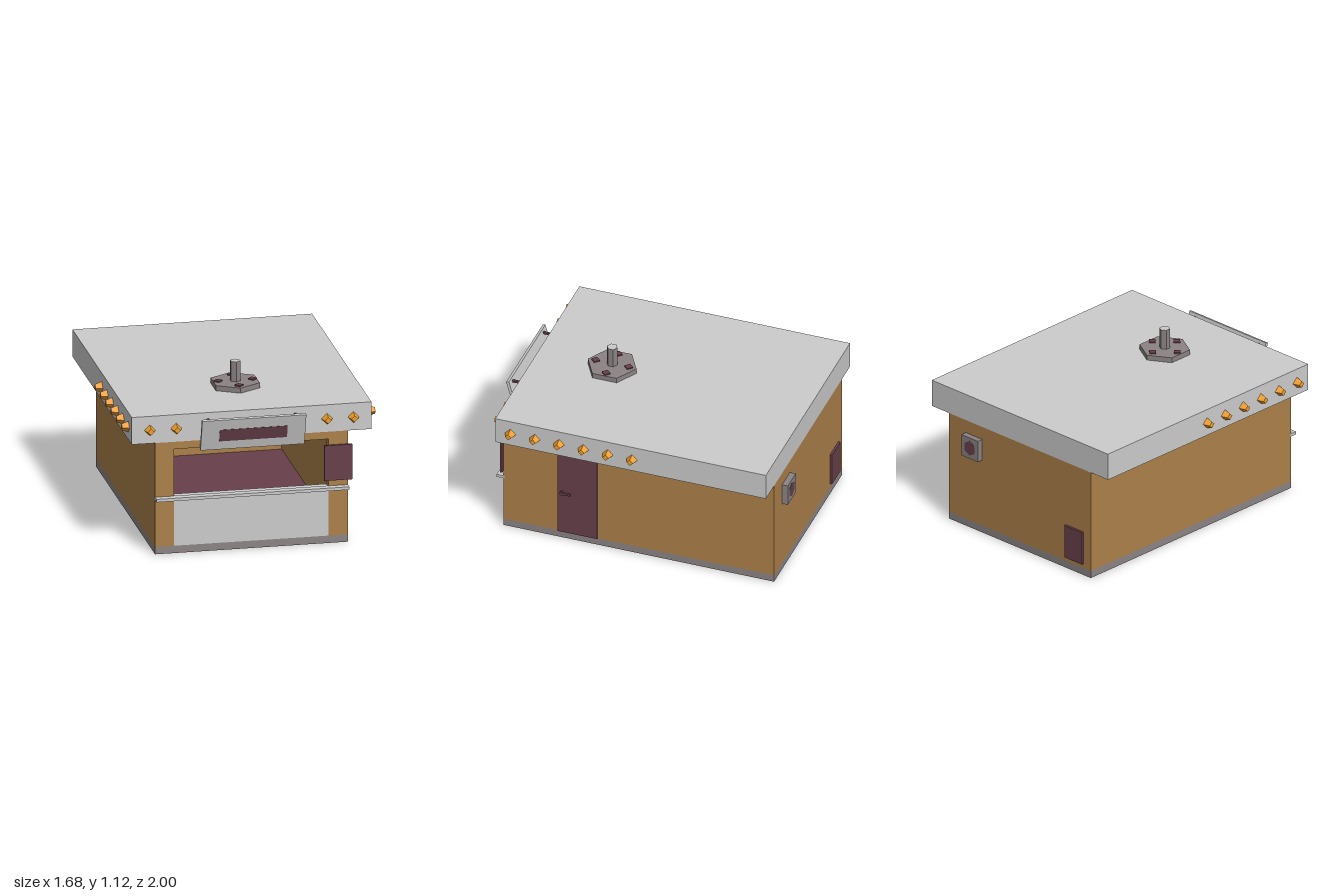
import * as THREE from 'three';

const mat = (color) => new THREE.MeshStandardMaterial({ color, flatShading: true });

export function createModel() {
  const model = new THREE.Group();
  const grey = mat(0xcccccc), wood = mat(0xad8049), red = mat(0x68404a);
  const dark = mat(0x8c8484), orange = mat(0xf0a030);

  const add = (name, geometry, material, parent = model) => {
    const mesh = new THREE.Mesh(geometry, material);
    mesh.name = name;
    parent.add(mesh);
    return mesh;
  };
  // Box given by its extents on each axis
  const box = (name, material, [x0, x1], [y0, y1], [z0, z1], parent) => {
    const mesh = add(name, new THREE.BoxGeometry(x1 - x0, y1 - y0, z1 - z0), material, parent);
    mesh.position.set((x0 + x1) / 2, (y0 + y1) / 2, (z0 + z1) / 2);
    return mesh;
  };

  const W = 0.64, F = 0.91, B = -0.96, T = 0.06, floorY = 0.05, wallTop = 0.76;
  const wallY = [floorY, wallTop];

  // Base, interior floor and hollow walls
  box('base', dark, [-W, W], [0, floorY], [B, F]);
  box('interiorFloor', red, [-W + T, W - T], [floorY, floorY + 0.004], [B + T, F - T]);
  box('rightWall', wood, [-W, -W + T], wallY, [B, F]);
  box('leftWall', wood, [W - T, W], wallY, [B, F]);
  box('backWall', wood, [-W + T, W - T], wallY, [B, B + T]);

  // Front wall around the serving window
  box('frontPostRight', wood, [-W + T, -0.515], wallY, [F - T, F]);
  box('frontPostLeft', wood, [0.51, W - T], wallY, [F - T, F]);
  box('windowHeader', wood, [-0.515, 0.51], [0.71, wallTop], [F - T, F]);
  box('counterFront', grey, [-0.515, 0.51], [floorY, 0.385], [F - T, F]);
  box('counter', grey, [-W, W], [0.37, 0.39], [F - 0.005, 0.957]);

  // Roof slab with a dark underside
  box('roof', grey, [-0.795, 0.795], [wallTop, 0.945], [B, F]);
  const soffit = add('roofUnderside', new THREE.PlaneGeometry(1.59, F - B), red);
  soffit.rotation.x = Math.PI / 2;
  soffit.position.set(0, wallTop - 0.001, (F + B) / 2);

  // Lamps: four-sided tapered studs pointing outward
  const lampGeometry = new THREE.CylinderGeometry(0.022, 0.037, 0.045, 4);
  lampGeometry.rotateX(Math.PI / 2);
  const lamp = (x, z, turn) => {
    const mesh = add('lamp', lampGeometry, orange);
    mesh.position.set(x, 0.85, z);
    mesh.rotation.y = turn;
  };
  for (const side of [-1, 1]) {
    for (const x of [0.5, 0.675]) lamp(side * x, F + 0.0225, 0);
    for (let i = 0; i < 6; i++) lamp(side * 0.8175, -0.035 + i * 0.168, side * Math.PI / 2);
  }

  // Tilted sign over the window, held by two brackets
  const sign = new THREE.Group();
  sign.name = 'sign';
  sign.position.set(0, 0.81, 0.96);
  sign.rotation.x = 0.27;
  model.add(sign);
  box('signBoard', grey, [-0.345, 0.345], [-0.113, 0.113], [-0.01, 0.01], sign);
  box('signInset', red, [-0.225, 0.225], [-0.05, 0.038], [0.008, 0.012], sign);
  for (const x of [-0.29, 0.29]) {
    box('signBracket', red, [x - 0.008, x + 0.008], [0.89, 0.903], [F, 0.982]);
  }

  // Menu board on the front
  box('menuBoard', red, [0.48, 0.665], [0.43, 0.67], [F, 0.926]);

  // Side door with lever handle
  box('door', red, [W, 0.65], [floorY, 0.7], [0.26, 0.535]);
  const knob = add('doorKnob', new THREE.CylinderGeometry(0.017, 0.017, 0.015, 8), red);
  knob.rotation.z = Math.PI / 2;
  knob.position.set(0.655, 0.36, 0.5);
  box('doorLever', red, [0.655, 0.667], [0.354, 0.368], [0.44, 0.505]);

  // Rear vent and service hatch
  box('vent', dark, [0.34, 0.49], [0.52, 0.67], [-1, B]);
  const fan = add('ventOpening', new THREE.CylinderGeometry(0.052, 0.052, 0.004, 6), red);
  fan.rotation.x = Math.PI / 2;
  fan.position.set(0.415, 0.595, -1);
  box('serviceHatch', red, [-0.575, -0.415], [0.08, 0.31], [-0.975, B]);

  // Roof chimney on a bolted hexagonal plate
  const chimney = new THREE.Group();
  chimney.name = 'chimney';
  chimney.position.set(0, 0.945, 0.393);
  model.add(chimney);
  const prism = (name, radius, height, sides, material, x, y, z) => {
    const mesh = add(name, new THREE.CylinderGeometry(radius, radius, height, sides), material, chimney);
    mesh.position.set(x, y + height / 2, z);
  };
  prism('chimneyPlate', 0.168, 0.035, 6, dark, 0, 0, 0);
  prism('chimneyPipe', 0.036, 0.135, 6, dark, 0, 0.035, 0);
  prism('chimneyCap', 0.034, 0.002, 6, grey, 0, 0.169, 0);
  for (let i = 0; i < 4; i++) {
    const a = i * Math.PI / 2;
    prism('plateBolt', 0.03, 0.008, 4, red, 0.114 * Math.cos(a), 0.035, 0.114 * Math.sin(a));
  }
  return model;
}
